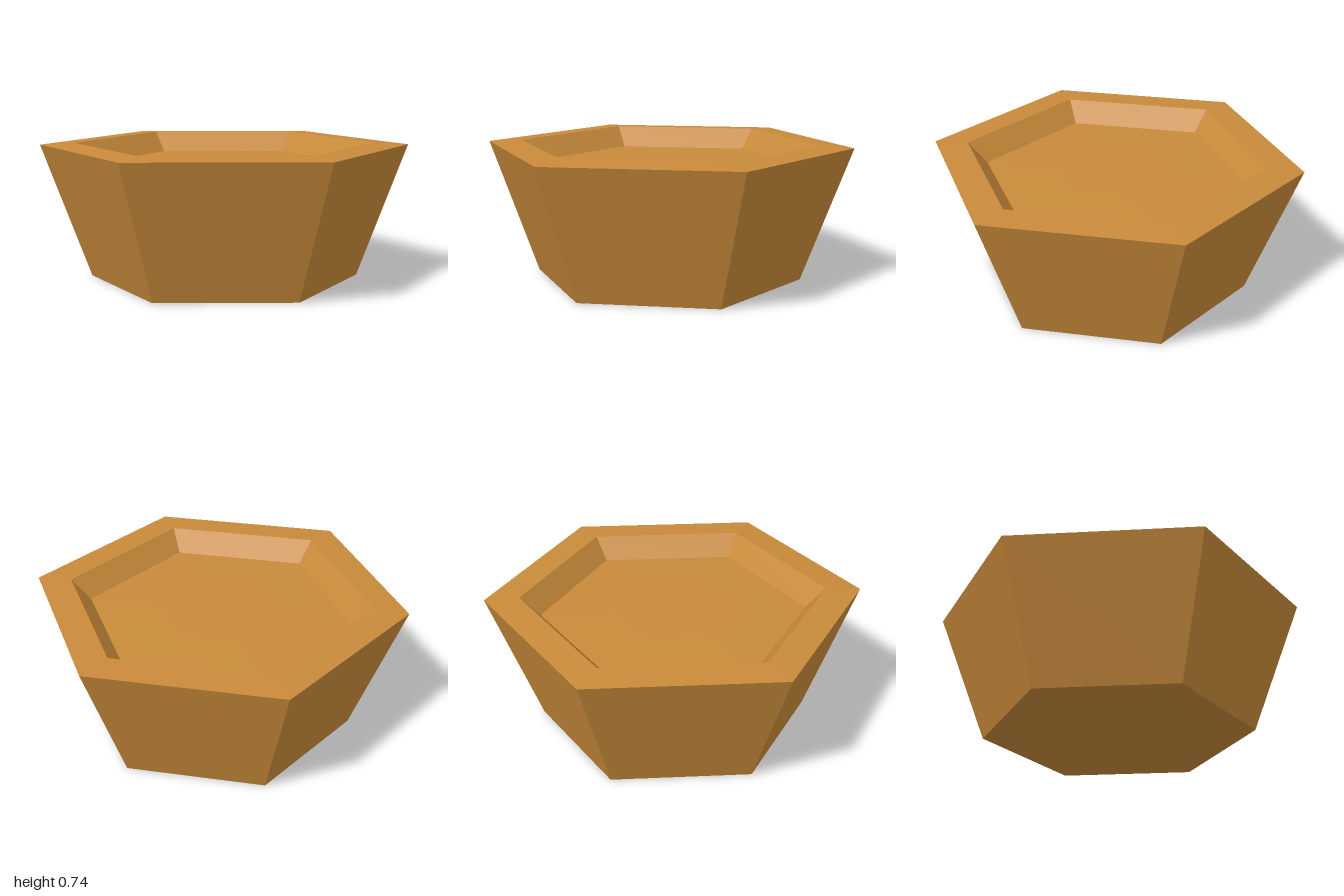
import * as THREE from 'three';

const SIDES = 6;

// Faceted hexagonal shell turned from a [radius, height] profile, corners on the z axis
function hexShell(name, profile, material) {
  const points = profile.map(([r, y]) => new THREE.Vector2(r, y));
  const geometry = new THREE.LatheGeometry(points, SIDES).toNonIndexed();
  geometry.computeVertexNormals();
  const mesh = new THREE.Mesh(geometry, material);
  mesh.name = name;
  return mesh;
}

export function createModel() {
  const group = new THREE.Group();
  group.name = 'hexagonalBowl';
  const clay = new THREE.MeshStandardMaterial({ color: 0xc88a3a, flatShading: true });
  clay.name = 'clay';

  // Base and flared outer wall
  group.add(hexShell('outerWall', [[0, 0], [0.73, 0], [1, 0.725]], clay));
  // Rim rising slightly towards the opening
  group.add(hexShell('rim', [[1, 0.725], [0.815, 0.735]], clay));
  // Sloped inner wall
  group.add(hexShell('innerWall', [[0.815, 0.735], [0.71, 0.625]], clay));
  // Shallow floor with a slightly raised middle
  group.add(hexShell('floor', [[0.71, 0.625], [0.31, 0.635], [0, 0.635]], clay));

  return group;
}
